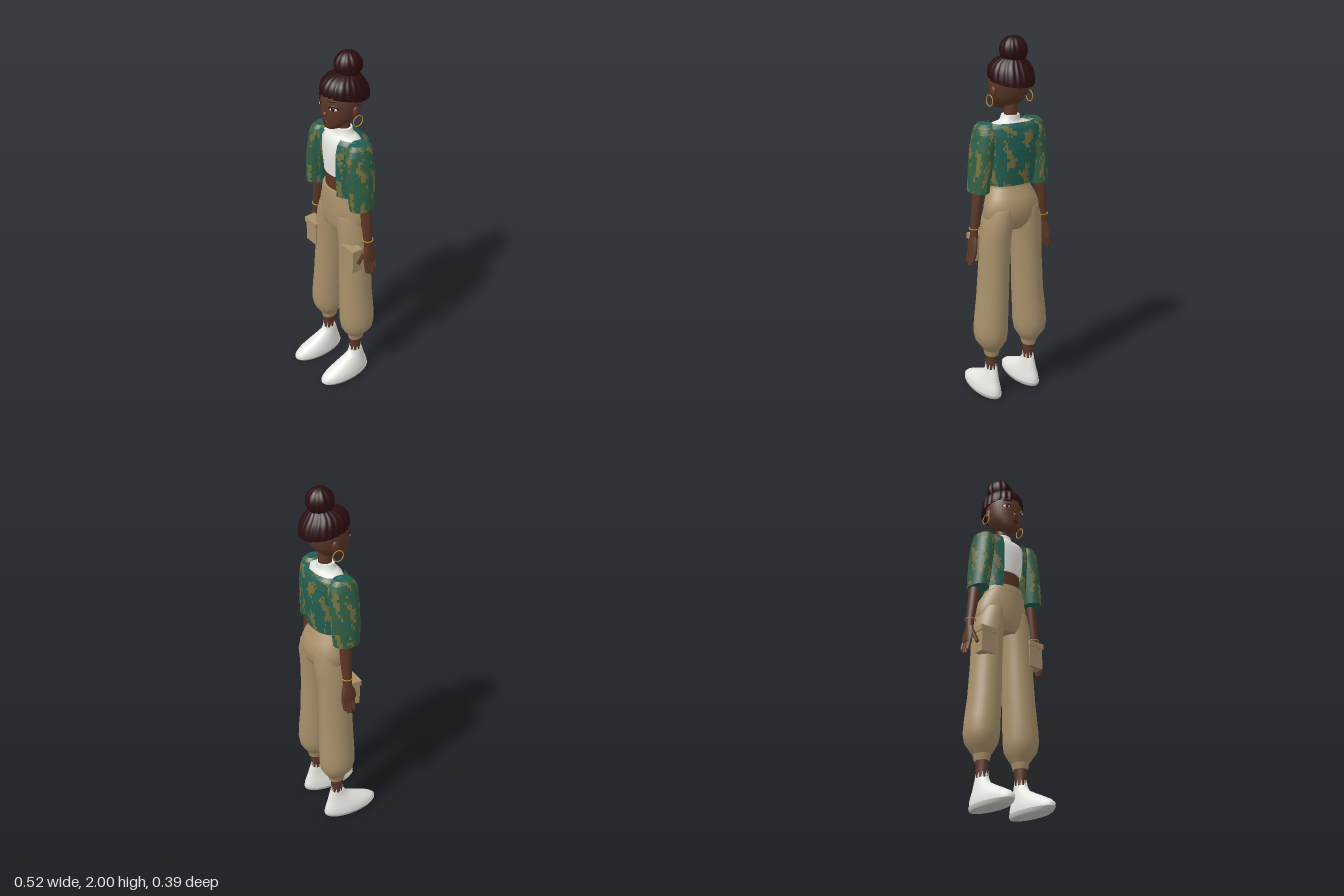
import * as THREE from 'three';

const mat = (name, color, side = THREE.FrontSide) => {
  const m = new THREE.MeshStandardMaterial({ color, side });
  m.name = name;
  return m;
};

export function createModel() {
  const root = new THREE.Group();
  root.name = 'standingWoman';
  const D = THREE.DoubleSide;
  const skin = mat('brown skin', 0x5a3626), hair = mat('dark hair', 0x2a0d0f);
  const khaki = mat('khaki cloth', 0xa8906a), white = mat('white cloth', 0xe6e6e2);
  const teal = mat('teal weave', 0x1f5f56, D), green = mat('green weave', 0x345f41, D);
  const ochre = mat('ochre weave', 0x77703f, D), gold = mat('gold', 0xb98a35);
  const lipColor = mat('lip', 0x472022), soleColor = mat('sole grey', 0xc9c9c5);

  const add = (name, geo, material, x = 0, y = 0, z = 0) => {
    const m = new THREE.Mesh(geo, material);
    m.name = name;
    m.position.set(x, y, z);
    root.add(m);
    return m;
  };

  // Surface through rings [y, centreX, radiusX, zFront, zBack], listed bottom to top.
  // gap: half width of a front opening; mod: radius factor; tilt: front lift; pick: material per face
  function loft(rings, { n = 28, sub = 1, p = 1, gap = 0, cap = true, mod, tilt, pick } = {}) {
    const rows = [];
    rings.forEach((r, i) => {
      if (i === rings.length - 1) return rows.push(r);
      for (let k = 0; k < sub; k++) rows.push(r.map((v, c) => v + (rings[i + 1][c] - v) * k / sub));
    });
    const pos = [], buckets = [[], [], []], cols = gap ? n + 1 : n;
    const pw = v => Math.sign(v) * Math.abs(v) ** p;
    rows.forEach(([y, cx, rx, zf, zb], j) => {
      const a0 = gap ? Math.asin(Math.min(1, gap / rx) ** (1 / p)) : 0;
      const t = j / (rows.length - 1);
      for (let i = 0; i < cols; i++) {
        const a = a0 + (2 * Math.PI - 2 * a0) * i / n, f = mod ? mod(a, t) : 1;
        pos.push(cx + rx * f * pw(Math.sin(a)), y + (tilt ? tilt * (1 - t) * Math.cos(a) : 0),
          (zf + zb) / 2 + (zf - zb) / 2 * f * pw(Math.cos(a)));
      }
    });
    for (let j = 0; j < rows.length - 1; j++) for (let i = 0; i < n; i++) {
      const a = j * cols + i, b = j * cols + (i + 1) % cols;
      buckets[pick ? pick(i, j) : 0].push(a, b, b + cols, a, b + cols, a + cols);
    }
    if (cap && !gap) [0, rows.length - 1].forEach(j => {
      const s = pos.length / 3, r = rows[j];
      for (let i = 0; i < n; i++) pos.push(...pos.slice((j * n + i) * 3, (j * n + i) * 3 + 3));
      pos.push(r[1], r[0], (r[3] + r[4]) / 2);
      for (let i = 0; i < n; i++) {
        const u = s + i, v = s + (i + 1) % n;
        buckets[0].push(...(j ? [u, v, s + n] : [v, u, s + n]));
      }
    });
    const g = new THREE.BufferGeometry();
    g.setAttribute('position', new THREE.Float32BufferAttribute(pos, 3));
    g.setIndex(buckets.flat());
    if (pick) {
      let start = 0;
      buckets.forEach((b, k) => { g.addGroup(start, b.length, k); start += b.length; });
    }
    g.computeVertexNormals();
    return g;
  }

  // Rounded tapered segment between two points
  const limb = (name, a, b, r, material) => {
    const p = new THREE.Vector3(...a), q = new THREE.Vector3(...b), d = q.clone().sub(p);
    const m = add(name, new THREE.CapsuleGeometry(r, d.length(), 3, 8), material);
    m.position.copy(p).add(q).multiplyScalar(0.5);
    m.quaternion.setFromUnitVectors(new THREE.Vector3(0, 1, 0), d.normalize());
  };
  const ball = (name, x, y, z, sx, sy, sz, material) => {
    const m = add(name, new THREE.SphereGeometry(1, 20, 14), material, x, y, z);
    m.scale.set(sx, sy, sz);
    return m;
  };
  // Thin oval lying on the face at angle a from the front
  const facePlate = (name, a, y, w, h, lift, material) => {
    const r = 0.105 + lift;
    ball(name, r * Math.sin(a), y, -0.037 + r * Math.cos(a), w / 2, h / 2, 0.0045, material).rotation.y = a;
  };

  // Head and neck
  add('head', loft([[1.617, 0, 0.025, 0.05, 0], [1.624, 0, 0.045, 0.058, -0.035], [1.642, 0, 0.064, 0.064, -0.075],
    [1.67, 0, 0.084, 0.066, -0.112], [1.7, 0, 0.097, 0.066, -0.132], [1.75, 0, 0.106, 0.068, -0.143],
    [1.8, 0, 0.105, 0.066, -0.145], [1.85, 0, 0.085, 0.04, -0.125]], { n: 36 }), skin);
  add('neck', loft([[1.54, 0, 0.042, -0.01, -0.1], [1.6, 0, 0.034, -0.02, -0.09], [1.68, 0, 0.036, -0.015, -0.095]]), skin);
  ball('nose', 0, 1.699, 0.062, 0.014, 0.016, 0.014, skin);
  ball('upperLip', 0, 1.661, 0.064, 0.021, 0.005, 0.0045, lipColor);
  ball('lowerLip', 0, 1.652, 0.063, 0.017, 0.006, 0.0045, lipColor);

  // Ridged hair cap and bun
  const ridges = (k, amp, twist) => (a, t) => 1 + amp * Math.cos(k * a + twist * t) + amp * 0.5 * Math.cos(7 * a + 1);
  add('hairCap', loft([[1.774, 0, 0.115, 0.068, -0.188], [1.8, 0, 0.116, 0.07, -0.187], [1.835, 0, 0.11, 0.062, -0.176],
    [1.865, 0, 0.092, 0.04, -0.155], [1.887, 0, 0.066, 0.005, -0.135], [1.9, 0, 0.035, -0.04, -0.115]],
  { n: 110, sub: 2, tilt: 0.024, mod: ridges(22, 0.022, 0) }), hair);
  const bunRings = [];
  for (let i = 0; i <= 12; i++) {
    const u = -1.15 + i * (2.6 / 12), r = 0.07 * Math.cos(u);
    bunRings.push([1.927 + 0.073 * Math.sin(u), 0, r, -0.08 + r, -0.08 - r]);
  }
  add('hairBun', loft(bunRings, { n: 72, mod: ridges(12, 0.04, 4) }), hair);
  add('bunWrap', new THREE.TorusGeometry(0.042, 0.014, 8, 28), hair, 0, 1.885, -0.08).rotation.x = Math.PI / 2;

  // Torso, shirt with high collar
  add('midriff', loft([[1.2, 0, 0.1, 0.03, -0.105], [1.28, 0, 0.094, 0.03, -0.1], [1.38, 0, 0.095, 0.03, -0.1]]), skin);
  add('shirt', loft([[1.34, 0, 0.102, 0.038, -0.108], [1.45, 0, 0.118, 0.045, -0.12], [1.52, 0, 0.132, 0.034, -0.122],
    [1.55, 0, 0.125, 0.02, -0.115], [1.562, 0, 0.07, 0.004, -0.105], [1.572, 0, 0.055, -0.002, -0.1],
    [1.596, 0, 0.048, -0.006, -0.098]], { n: 36 }), white);

  // Open jacket woven in vertical patches
  const noise = (i, j) => { const v = Math.sin(i * 12.99 + j * 78.23) * 43758.55; return v - Math.floor(v); };
  const weave = (period, base) => (i, j) => {
    const wave = Math.sin(i * period + 0.9 * Math.sin(j * 0.55)) + 0.8 * Math.sin(j * 0.45 + i * 0.3) + (noise(i, j) - 0.5) * 1.6;
    return wave > 0.75 ? 2 : noise(j, i) > 0.8 ? 1 - base : base;
  };
  add('jacketBody', loft([[1.235, 0, 0.135, 0.047, -0.14], [1.32, 0, 0.14, 0.053, -0.152], [1.42, 0, 0.15, 0.055, -0.162],
    [1.5, 0, 0.16, 0.052, -0.16], [1.545, 0, 0.16, 0.04, -0.15], [1.565, 0, 0.135, 0.022, -0.135]],
  { n: 80, sub: 6, p: 0.85, gap: 0.065, pick: weave(0.62, 0) }), [teal, green, ochre]);

  // Trousers: hips and waistband
  add('hips', loft([[0.985, 0, 0.08, 0.02, -0.12], [1.02, 0, 0.14, 0.037, -0.152], [1.06, 0, 0.166, 0.043, -0.168],
    [1.12, 0, 0.16, 0.046, -0.172], [1.17, 0, 0.142, 0.046, -0.155], [1.21, 0, 0.122, 0.045, -0.13],
    [1.25, 0, 0.109, 0.042, -0.116]], { n: 36 }), khaki);
  add('waistband', loft([[1.218, 0, 0.121, 0.048, -0.128], [1.252, 0, 0.112, 0.045, -0.119]], { n: 36 }), khaki);

  for (const s of [1, -1]) {
    const side = s > 0 ? 'left' : 'right';
    const at = (rings) => rings.map(([y, x, ...r]) => [y, s * x, ...r]);

    // Face details, ear and hoop
    facePlate(side + 'EyeLash', s * 0.55, 1.749, 0.052, 0.029, 0, hair);
    facePlate(side + 'EyeWhite', s * 0.55, 1.744, 0.042, 0.019, 0.002, white);
    facePlate(side + 'Iris', s * 0.53, 1.745, 0.023, 0.021, 0.0035, hair);
    facePlate(side + 'Brow', s * 0.48, 1.786, 0.058, 0.011, 0.0, hair);
    ball(side + 'Ear', s * 0.104, 1.72, -0.05, 0.012, 0.03, 0.02, skin);
    add(side + 'Hoop', new THREE.TorusGeometry(0.029, 0.003, 6, 28), gold, s * 0.124, 1.677, -0.047).rotation.y = Math.PI / 2;

    // Sleeve, arm and bangle
    add(side + 'Sleeve', loft(at([[1.205, 0.187, 0.052, 0.042, -0.105], [1.3, 0.178, 0.056, 0.048, -0.112],
      [1.42, 0.164, 0.058, 0.05, -0.118], [1.51, 0.15, 0.057, 0.045, -0.118], [1.545, 0.147, 0.05, 0.03, -0.105],
      [1.562, 0.145, 0.035, 0.01, -0.085]]), { n: 40, sub: 6, pick: weave(1.1, 1) }), [teal, green, ochre]);
    add(side + 'Arm', loft(at([[0.955, 0.227, 0.018, -0.02, -0.073], [1.0, 0.224, 0.02, -0.022, -0.07],
      [1.1, 0.211, 0.026, -0.015, -0.077], [1.23, 0.197, 0.029, -0.014, -0.08]]), { n: 18 }), skin);
    add(side + 'Bangle', new THREE.TorusGeometry(0.028, 0.003, 6, 24), gold, s * 0.222, 1.012, -0.046).rotation.x = Math.PI / 2;

    // Hand with four fingers and thumb
    add(side + 'Palm', loft(at([[0.875, 0.24, 0.012, -0.008, -0.088], [0.92, 0.236, 0.016, -0.006, -0.088],
      [0.968, 0.227, 0.018, -0.02, -0.073]]), { n: 16 }), skin);
    [0.825, 0.812, 0.816, 0.838].forEach((tip, k) => {
      const z = -0.018 - k * 0.02;
      limb(side + 'Finger' + (k + 1), [s * 0.239, 0.885, z], [s * 0.253, tip, z * 0.9 - 0.004], 0.0095, skin);
    });
    limb(side + 'Thumb', [s * 0.228, 0.935, -0.015], [s * 0.213, 0.875, 0.004], 0.0105, skin);

    // Baggy trouser leg with gathered cuff
    add(side + 'TrouserLeg', loft(at([[0.285, 0.126, 0.043, -0.005, -0.108], [0.315, 0.127, 0.062, 0.018, -0.13],
      [0.35, 0.13, 0.085, 0.037, -0.15], [0.4, 0.131, 0.093, 0.046, -0.157], [0.47, 0.127, 0.091, 0.046, -0.156],
      [0.6, 0.116, 0.086, 0.043, -0.15], [0.8, 0.106, 0.082, 0.037, -0.147], [0.95, 0.099, 0.083, 0.036, -0.152],
      [1.04, 0.087, 0.082, 0.04, -0.166], [1.11, 0.077, 0.07, 0.035, -0.16]]), { n: 32 }), khaki);
    add(side + 'Cuff', loft(at([[0.253, 0.126, 0.036, -0.01, -0.1], [0.27, 0.126, 0.04, -0.006, -0.105],
      [0.295, 0.126, 0.046, -0.002, -0.11]]), { n: 24 }), khaki);

    // Cargo pocket
    add(side + 'Pocket', new THREE.BoxGeometry(0.088, 0.14, 0.06), khaki, s * 0.163, 0.882, 0.011);
    add(side + 'PocketFlap', new THREE.BoxGeometry(0.1, 0.03, 0.066), khaki, s * 0.164, 0.943, 0.014);

    // Ankle, shoe, sole and ragged sock edge
    add(side + 'Ankle', loft(at([[0.12, 0.126, 0.03, -0.015, -0.09], [0.18, 0.126, 0.028, -0.02, -0.085],
      [0.265, 0.126, 0.033, -0.014, -0.093]]), { n: 18 }), skin);
    add(side + 'Shoe', loft(at([[0.018, 0.13, 0.064, 0.19, -0.131], [0.04, 0.13, 0.064, 0.195, -0.132],
      [0.06, 0.13, 0.06, 0.172, -0.127], [0.085, 0.129, 0.052, 0.118, -0.118], [0.11, 0.128, 0.043, 0.06, -0.11],
      [0.135, 0.127, 0.035, 0.008, -0.104], [0.165, 0.126, 0.03, -0.01, -0.094]]), { n: 32 }), white);
    add(side + 'Sole', loft(at([[0, 0.13, 0.059, 0.165, -0.125], [0.008, 0.13, 0.064, 0.182, -0.133],
      [0.022, 0.13, 0.066, 0.194, -0.136]]), { n: 32 }), soleColor);
    for (let k = 0; k < 9; k++) {
      const a = k * Math.PI * 2 / 9;
      add(side + 'SockPoint' + (k + 1), new THREE.ConeGeometry(0.008, 0.045 + 0.012 * (k % 2), 5), white,
        s * 0.126 + 0.027 * Math.sin(a), 0.178, -0.052 + 0.035 * Math.cos(a));
    }
  }
  return root;
}
